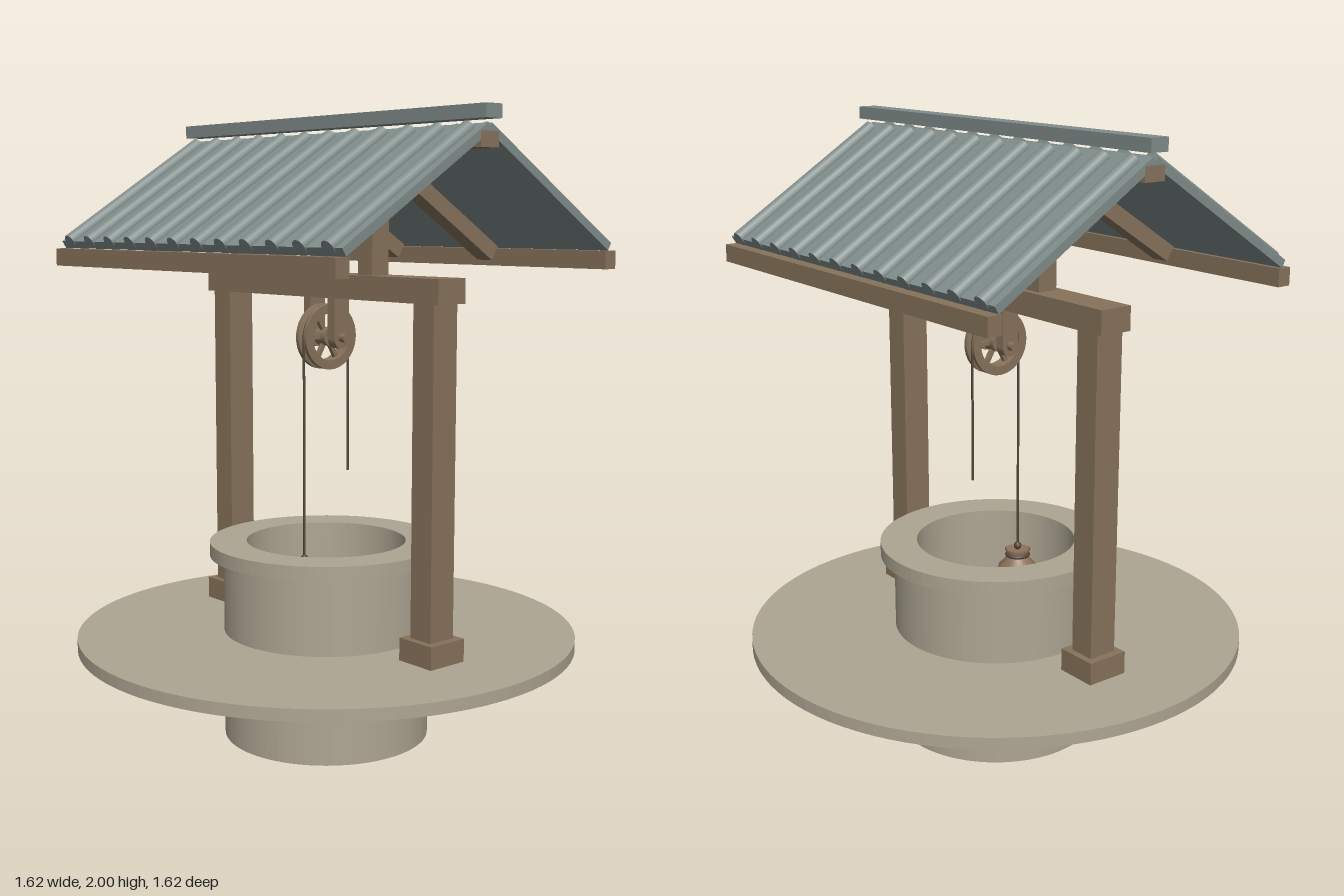
import * as THREE from 'three';

export function createModel() {
  const well = new THREE.Group();
  well.name = 'well';
  const paint = (name, color) => {
    const m = new THREE.MeshStandardMaterial({ color });
    m.name = name;
    return m;
  };
  const stone = paint('stone', 0xaea592);
  const wood = paint('wood', 0x86725b);
  const roofing = paint('roofing', 0x7f8c8a);
  const ropeFibre = paint('rope fibre', 0x51483c);
  const clay = paint('clay', 0x90745c);

  const add = (parent, name, geometry, material, x = 0, y = 0, z = 0) => {
    const mesh = new THREE.Mesh(geometry, material);
    mesh.name = name;
    mesh.position.set(x, y, z);
    parent.add(mesh);
    return mesh;
  };
  // box given by its centre in x and z, and its bottom and top heights
  const block = (parent, name, mat, w, y0, y1, d, x = 0, z = 0) =>
    add(parent, name, new THREE.BoxGeometry(w, y1 - y0, d), mat, x, (y0 + y1) / 2, z);
  // hollow ring with crisp edges, built as an extruded annulus
  const ring = (name, outer, inner, y0, y1) => {
    const s = new THREE.Shape().absarc(0, 0, outer, 0, Math.PI * 2);
    s.holes.push(new THREE.Path().absarc(0, 0, inner, 0, Math.PI * 2, true));
    const g = new THREE.ExtrudeGeometry(s, { depth: y1 - y0, bevelEnabled: false, curveSegments: 48 });
    g.rotateX(-Math.PI / 2);
    add(well, name, g, stone, 0, y0, 0);
  };

  // stonework
  ring('shaft', 0.335, 0.26, 0, 0.6);
  ring('shaftRim', 0.38, 0.26, 0.6, 0.645);
  ring('platform', 0.81, 0.3, 0.312, 0.35);

  // timber frame
  for (const s of [-1, 1]) {
    block(well, 'postFoot', wood, 0.137, 0.35, 0.422, 0.14, s * 0.4925);
    block(well, 'post', wood, 0.086, 0.422, 1.437, 0.096, s * 0.4925);
    block(well, 'kingPost', wood, 0.064, 1.51, 1.89, 0.068, s * 0.222);
    block(well, 'pulleyHanger', wood, 0.034, 1.31, 1.437, 0.06, s * 0.059);
    const end = add(well, 'hangerEnd', new THREE.CylinderGeometry(0.03, 0.03, 0.034, 24), wood, s * 0.059, 1.305, 0);
    end.rotation.z = Math.PI / 2;
  }
  block(well, 'crossBeam', wood, 1.12, 1.437, 1.512, 0.112);
  block(well, 'ridgeBeam', wood, 1.4, 1.88, 1.925, 0.074);
  block(well, 'ridgeCap', roofing, 1.43, 1.96, 2, 0.064);

  // two roof slopes, each built flat and then tilted
  for (const turn of [0, Math.PI]) {
    const side = new THREE.Group();
    side.name = 'roofSide';
    side.rotation.y = turn;
    well.add(side);
    const slope = new THREE.Group();
    slope.name = 'roofSlope';
    slope.position.y = 1.953;
    slope.rotation.x = Math.atan(0.63);
    side.add(slope);
    block(slope, 'roofPanel', roofing, 1.4, -0.026, 0, 0.635, 0, 0.3275);
    for (let i = 0; i < 12; i++) {
      const rib = add(slope, 'roofRib', new THREE.CylinderGeometry(0.024, 0.024, 0.613, 16), roofing,
        (i - 5.5) * 0.1175, 0, 0.3415);
      rib.rotation.x = Math.PI / 2;
    }
    for (const s of [-1, 1]) block(slope, 'rafter', wood, 0.064, -0.078, -0.026, 0.6, s * 0.222, 0.335);
    block(side, 'eaveBeam', wood, 1.4, 1.53, 1.586, 0.048, 0, 0.545);
  }

  // pulley: grooved rim, hub and spokes around a crosswise axle
  const pulley = new THREE.Group();
  pulley.name = 'pulley';
  pulley.position.y = 1.31;
  well.add(pulley);
  const rim = [[0.076, -0.025], [0.105, -0.025], [0.105, -0.012], [0.088, -0.007], [0.088, 0.007],
    [0.105, 0.012], [0.105, 0.025], [0.076, 0.025], [0.076, -0.025]];
  // doubled points keep the rim's corners sharp
  const sharp = rim.flatMap((p) => [new THREE.Vector2(...p), new THREE.Vector2(...p)]);
  add(pulley, 'wheelRim', new THREE.LatheGeometry(sharp, 40), wood).rotation.z = Math.PI / 2;
  add(pulley, 'wheelHub', new THREE.CylinderGeometry(0.03, 0.03, 0.05, 24), wood).rotation.z = Math.PI / 2;
  add(pulley, 'axle', new THREE.CylinderGeometry(0.014, 0.014, 0.194, 16), wood).rotation.z = Math.PI / 2;
  for (let i = 0; i < 3; i++) {
    const spoke = add(pulley, 'spokePair', new THREE.BoxGeometry(0.014, 0.014, 0.158), wood);
    spoke.rotation.x = (i * Math.PI) / 3;
  }

  // rope over the wheel, with one end down the shaft
  const ropeR = 0.004, reach = 0.093;
  add(well, 'ropeOverWheel', new THREE.TorusGeometry(reach, ropeR, 8, 32, Math.PI), ropeFibre, 0, 1.31, 0)
    .rotation.y = Math.PI / 2;
  for (const [z, low] of [[reach, 0.58], [-reach, 0.865]]) {
    add(well, 'rope', new THREE.CylinderGeometry(ropeR, ropeR, 1.31 - low, 8), ropeFibre, 0, (1.31 + low) / 2, z);
  }

  // jar hanging on the rope
  const jar = [[0, 0.39], [0.045, 0.39], [0.066, 0.43], [0.074, 0.48], [0.064, 0.525], [0.036, 0.555],
    [0.034, 0.57], [0.043, 0.582], [0.036, 0.586], [0, 0.58]].map((p) => new THREE.Vector2(...p));
  add(well, 'jar', new THREE.LatheGeometry(jar, 28), clay, 0, 0, reach);
  add(well, 'jarTie', new THREE.TorusGeometry(0.036, 0.006, 8, 24), ropeFibre, 0, 0.564, reach).rotation.x = Math.PI / 2;
  add(well, 'knot', new THREE.SphereGeometry(0.013, 12, 8), ropeFibre, 0, 0.595, reach);

  return well;
}
